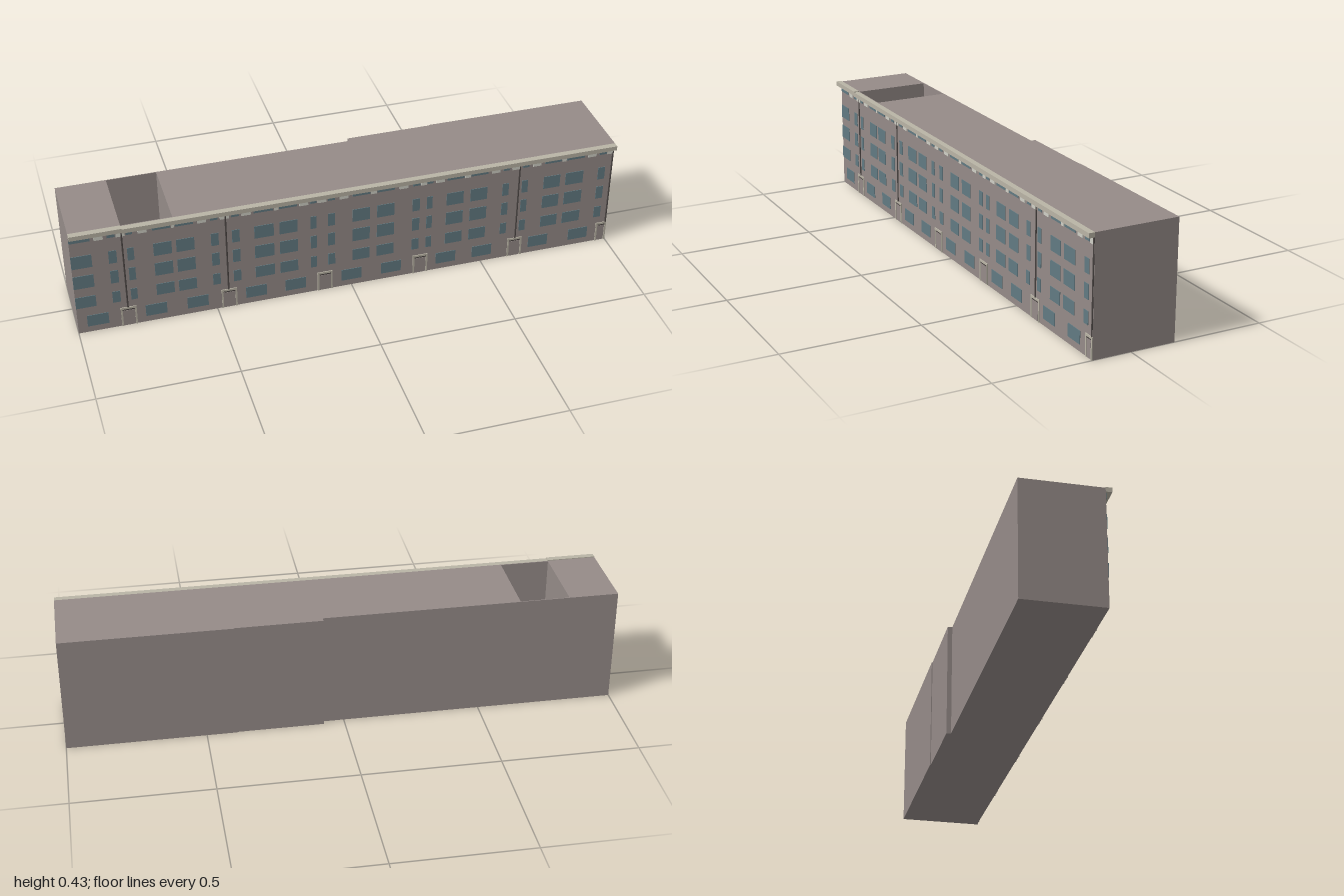
import * as THREE from 'three';

export function createModel() {
  const model = new THREE.Group();
  const mat = (name, color) => {
    const m = new THREE.MeshStandardMaterial({ color });
    m.name = name;
    return m;
  };
  const wall = mat('wall', 0x958b88);
  const glass = mat('glass', 0x627a82);
  const stone = mat('stone', 0xb9b4a5);
  const pale = mat('paleTrim', 0xd0d0c6);
  const dark = mat('darkMetal', 0x4c4644);

  // Box given by its limits on each axis
  const block = (name, material, x0, x1, y0, y1, z0, z1, parent = model) => {
    const mesh = new THREE.Mesh(new THREE.BoxGeometry(x1 - x0, y1 - y0, z1 - z0), material);
    mesh.position.set((x0 + x1) / 2, (y0 + y1) / 2, (z0 + z1) / 2);
    mesh.name = name;
    parent.add(mesh);
    return mesh;
  };

  const H = 0.43, F = 0.143;

  // Solid wings, with the back stepping outward toward the left end
  block('endWing', wall, -1, -0.82, 0, H, -0.145, F);
  block('middleWing', wall, -0.64, 0.075, 0, H, -0.145, F);
  block('deepWing', wall, 0.075, 0.39, 0, H, -0.162, F);
  block('farWing', wall, 0.39, 1, 0, H, -0.165, F);

  // Light well, open to the sky, between the end and middle wings
  block('wellFrontWall', wall, -0.82, -0.64, 0, H, F - 0.003, F);
  block('wellBackWall', wall, -0.82, -0.64, 0, H, -0.145, -0.142);
  block('wellFloor', wall, -0.82, -0.64, 0, 0.003, -0.142, F - 0.003);

  // Projecting cornice, slightly higher over the end wing
  block('endCornice', stone, -1, -0.82, 0.416, 0.433, F, 0.165);
  block('cornice', stone, -0.82, 1, 0.413, 0.43, F, 0.165);

  // Windows: [left edge, right edge] of each column
  const columns = [
    [-1, -0.928], [-0.87, -0.842], [-0.805, -0.782], [-0.714, -0.65], [-0.634, -0.57],
    [-0.511, -0.484], [-0.436, -0.409], [-0.356, -0.286], [-0.265, -0.2], [-0.152, -0.13],
    [-0.088, -0.062], [0.003, 0.067], [0.094, 0.158], [0.227, 0.254], [0.281, 0.302],
    [0.356, 0.42], [0.447, 0.511], [0.57, 0.594], [0.645, 0.668], [0.73, 0.794],
    [0.816, 0.885], [0.944, 0.971],
  ];
  const windows = new THREE.Group();
  windows.name = 'windows';
  model.add(windows);
  const rows = [[0.11, 0.157], [0.195, 0.248], [0.281, 0.333]];
  for (const [x0, x1] of columns) {
    for (const [y0, y1] of rows) block('window', glass, x0, x1, y0, y1, F, F + 0.002, windows);
  }
  // Wider ground-floor windows
  for (const x of [-0.928, -0.72, -0.57, -0.356, -0.21, 0, 0.15, 0.361, 0.502, 0.725, 0.886]) {
    block('groundWindow', glass, x - 0.038, x + 0.038, 0.025, 0.072, F, F + 0.002, windows);
  }

  // Frieze of attic windows alternating with pale panels
  const frieze = new THREE.Group();
  frieze.name = 'frieze';
  model.add(frieze);
  columns.forEach(([x0, x1], i) => {
    block('atticWindow', glass, x0, x1, 0.39, 0.411, F, F + 0.002, frieze);
    const next = i < columns.length - 1 ? columns[i + 1][0] : 1;
    const mid = (x1 + next) / 2;
    const half = Math.min(0.016, (next - x1) / 2 - 0.003);
    block('friezePanel', pale, mid - half, mid + half, 0.388, 0.411, F, F + 0.003, frieze);
  });

  // Entrances: door leaf, two jambs and a lintel
  for (const x of [-0.82, -0.457, -0.102, 0.26, 0.63, 0.985]) {
    const entrance = new THREE.Group();
    entrance.name = 'entrance';
    model.add(entrance);
    const right = Math.min(x + 0.03, 1);
    block('doorLeaf', wall, x - 0.02, Math.min(x + 0.02, 0.99), 0, 0.065, F, F + 0.001, entrance);
    block('lintel', stone, x - 0.028, right, 0.072, 0.08, F, F + 0.003, entrance);
    block('lintelShadow', dark, x - 0.024, right - 0.004, 0.067, 0.072, F, F + 0.002, entrance);
    for (const px of [x - 0.026, right - 0.006]) {
      block('jamb', stone, px, px + 0.006, 0, 0.072, F, F + 0.003, entrance);
    }
  }

  // Rain pipes down the facade
  for (const x of [-0.82, -0.457, 0.633, 0.996]) {
    const pipe = new THREE.Mesh(new THREE.CylinderGeometry(0.003, 0.003, 0.335, 8), dark);
    pipe.position.set(x, 0.2475, F + 0.001);
    pipe.name = 'rainPipe';
    model.add(pipe);
  }
  return model;
}
